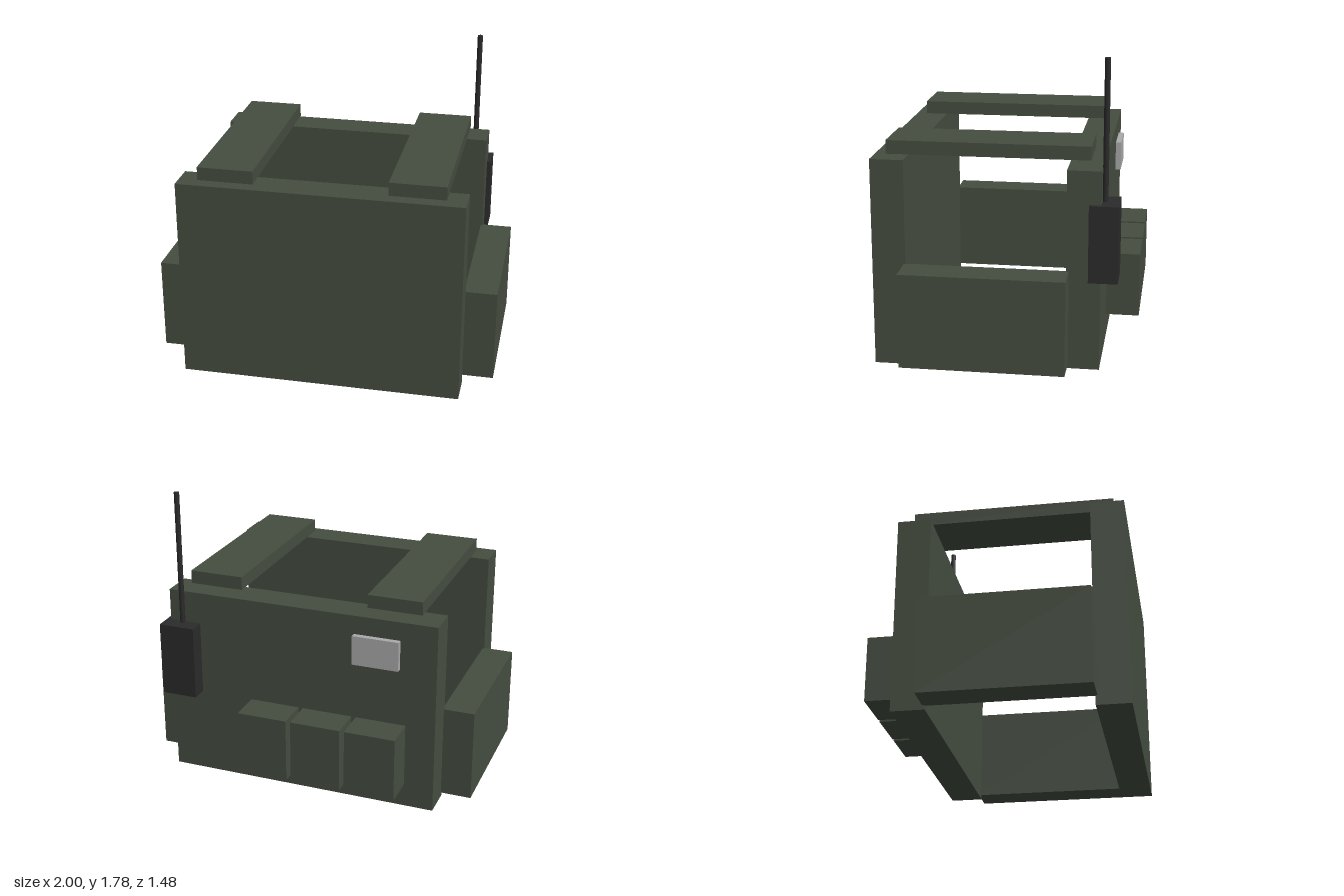
import * as THREE from 'three';

export function createModel() {
  const group = new THREE.Group();
  const mat = (name, color) => {
    const m = new THREE.MeshStandardMaterial({ color });
    m.name = name;
    return m;
  };
  const green = mat('olive green', 0x454d40);
  const black = mat('radio black', 0x2b2b2b);
  const grey = mat('patch grey', 0xaaaaaa);

  // Box given by its extents on each axis
  const box = (name, material, [x0, x1], [y0, y1], [z0, z1]) => {
    const mesh = new THREE.Mesh(new THREE.BoxGeometry(x1 - x0, y1 - y0, z1 - z0), material);
    mesh.position.set((x0 + x1) / 2, (y0 + y1) / 2, (z0 + z1) / 2);
    mesh.name = name;
    group.add(mesh);
  };

  // Vest plates
  box('frontPlate', green, [-0.82, 0.82], [0, 1.205], [0.55, 0.74]);
  box('backPlate', green, [-0.82, 0.82], [0.03, 1.18], [-0.545, -0.355]);

  // Side plates and shoulder straps, mirrored
  for (const [side, s] of [['left', 1], ['right', -1]]) {
    const span = (a, b) => (s > 0 ? [a, b] : [-b, -a]);
    box(side + 'SidePlate', green, span(0.81, 1), [0.055, 0.603], [-0.37, 0.56]);
    box(side + 'ShoulderStrap', green, span(0.385, 0.708), [1.21, 1.288], [-0.477, 0.673]);
  }

  // Row of pouches on the back
  for (let i = 0; i < 3; i++) {
    const x = -0.495 + i * 0.328;
    box('pouch' + (i + 1), green, [x - 0.15, x + 0.15], [0.168, 0.55], [-0.74, -0.54]);
  }

  // Radio with antenna
  box('radio', black, [0.63, 0.845], [0.55, 0.99], [-0.642, -0.478]);
  const antenna = new THREE.Mesh(new THREE.CylinderGeometry(0.016, 0.016, 0.82, 8), black);
  antenna.position.set(0.735, 1.375, -0.56);
  antenna.name = 'antenna';
  group.add(antenna);

  // Plain patch on the back plate
  box('backPatch', grey, [-0.605, -0.33], [0.895, 1.07], [-0.578, -0.54]);

  return group;
}
